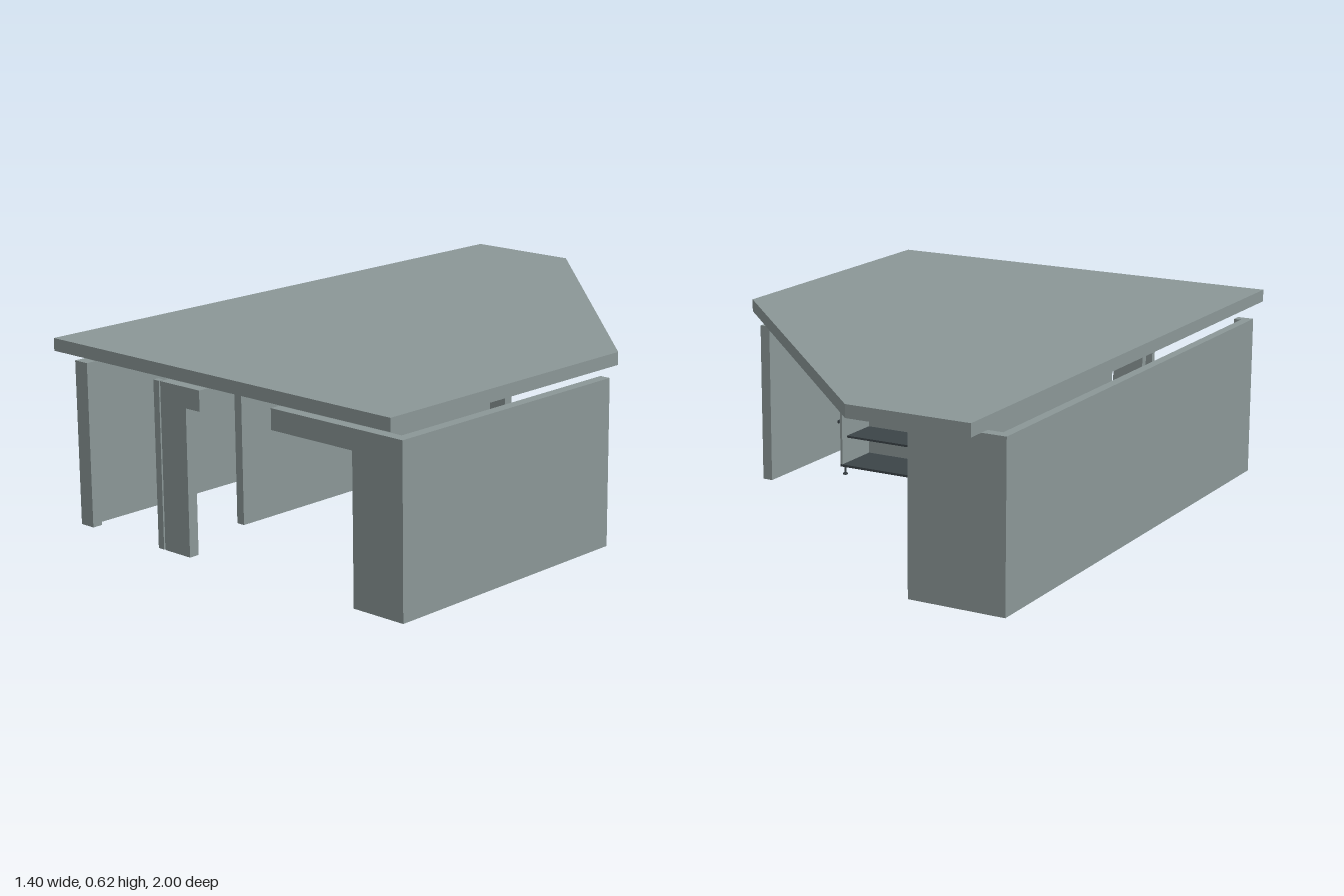
import * as THREE from 'three';

const mat = (name, color) => {
  const m = new THREE.MeshStandardMaterial({ color });
  m.name = name;
  return m;
};

export function createModel() {
  const model = new THREE.Group();
  model.name = 'pavilion';
  const grey = mat('wallGrey', 0x8b9797);
  const wood = mat('lightWood', 0x967d52);
  const redWood = mat('redWood', 0x6b3a2a);
  const metal = mat('darkMetal', 0x3c4448);

  // box given by its low and high limits on each axis
  const box = (name, material, [x0, x1], [y0, y1], [z0, z1], parent = model) => {
    const mesh = new THREE.Mesh(new THREE.BoxGeometry(x1 - x0, y1 - y0, z1 - z0), material);
    mesh.position.set((x0 + x1) / 2, (y0 + y1) / 2, (z0 + z1) / 2);
    mesh.name = name;
    parent.add(mesh);
    return mesh;
  };
  const extrude = (name, points, depth) => {
    const shape = new THREE.Shape(points.map(([x, y]) => new THREE.Vector2(x, y)));
    const mesh = new THREE.Mesh(new THREE.ExtrudeGeometry(shape, { depth, bevelEnabled: false }), grey);
    mesh.name = name;
    model.add(mesh);
    return mesh;
  };

  // roof slab with one corner cut off
  const roof = extrude('roof', [[-0.7, -1], [0.7, -1], [0.7, 0], [-0.3, 1], [-0.7, 1]], 0.04);
  roof.rotation.x = -Math.PI / 2;
  roof.position.y = 0.575;

  // walls
  const H = [0, 0.53];
  box('rightWall', grey, [0.635, 0.67], H, [0, 0.885]);
  box('leftWall', grey, [-0.7, -0.67], H, [-0.765, 0.885]);
  box('backWall', grey, [-0.7, -0.38], H, [-0.8, -0.765]);
  box('innerWall', grey, [-0.34, -0.31], H, [-0.6, 0.59]);
  box('leftReturn', grey, [-0.7, -0.645], H, [0.885, 0.92]);

  // front panels with overhanging arms
  extrude('frontPanel', [[0.48, 0], [0.67, 0], [0.67, 0.53], [0.16, 0.53], [0.16, 0.465], [0.48, 0.465]], 0.035)
    .position.z = 0.885;
  extrude('frontPost', [[-0.31, 0], [-0.2, 0], [-0.2, 0.465], [-0.14, 0.465], [-0.14, 0.53], [-0.31, 0.53]], 0.035)
    .position.z = 0.885;
  box('postFin', grey, [-0.34, -0.316], H, [0.9, 0.92]);

  // blocks hanging under the roof
  box('leftCeilingBlock', wood, [-0.465, -0.34], [0.51, 0.575], [0.35, 0.45]);
  box('leftBlockPlate', metal, [-0.455, -0.345], [0.504, 0.51], [0.36, 0.44]);
  box('rightCeilingBlock', wood, [0.235, 0.365], [0.53, 0.575], [0.35, 0.45]);

  // pedestals in the side aisle
  for (const z of [0.11, -0.27]) {
    const pedestal = new THREE.Group();
    pedestal.name = 'pedestal';
    pedestal.position.set(-0.5, 0, z);
    box('pedestalBase', redWood, [-0.06, 0.06], [0, 0.025], [-0.075, 0.075], pedestal);
    box('pedestalColumn', grey, [-0.053, 0.053], [0.025, 0.2], [-0.065, 0.065], pedestal);
    box('pedestalTop', wood, [-0.06, 0.06], [0.2, 0.222], [-0.075, 0.075], pedestal);
    model.add(pedestal);
  }

  // counter, open at the back
  const counter = new THREE.Group();
  counter.name = 'counter';
  model.add(counter);
  box('counterFront', grey, [0.125, 0.47], [0.038, 0.225], [0.34, 0.35], counter);
  box('counterTop', grey, [0.12, 0.475], [0.225, 0.232], [0.25, 0.355], counter);
  box('counterFloor', metal, [0.125, 0.47], [0.03, 0.038], [0.17, 0.35], counter);
  box('counterShelf', metal, [0.133, 0.462], [0.125, 0.132], [0.2, 0.34], counter);
  for (const x of [0.125, 0.462]) {
    box('counterSide', grey, [x, x + 0.008], [0.038, 0.225], [0.17, 0.34], counter);
  }
  for (const x of [0.12, 0.474]) {
    box('counterBracket', metal, [x, x + 0.006], [0.18, 0.19], [0.17, 0.35], counter);
  }
  // feet with small round pads
  for (const x of [0.137, 0.46]) for (const z of [0.185, 0.335]) {
    for (const [name, r, h, y] of [['counterFoot', 0.004, 0.03, 0.015], ['footPad', 0.008, 0.005, 0.0025]]) {
      const foot = new THREE.Mesh(new THREE.CylinderGeometry(r, r, h, 12), metal);
      foot.name = name;
      foot.position.set(x, y, z);
      counter.add(foot);
    }
  }
  return model;
}
